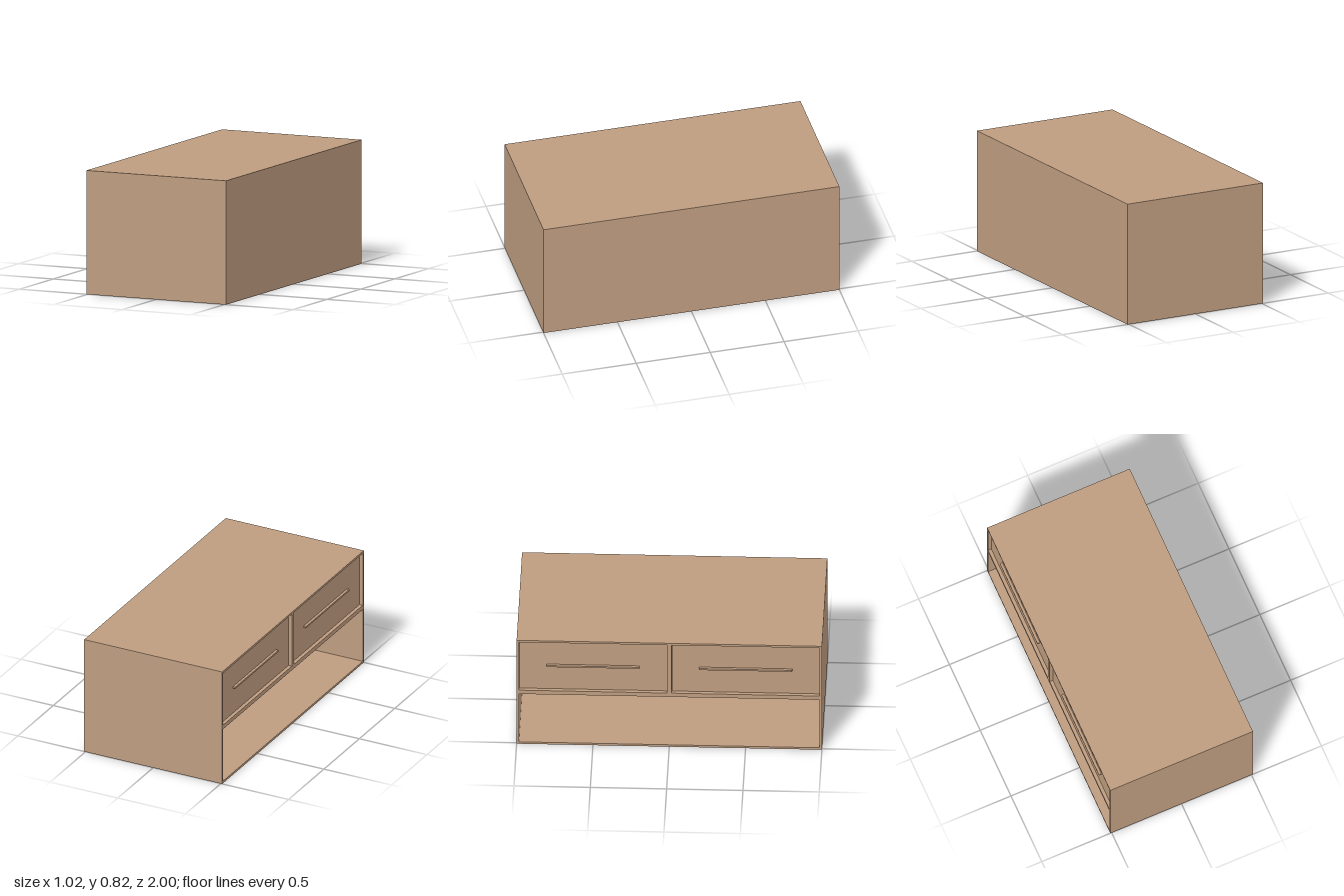
import * as THREE from 'three';

// Low cabinet: open side faces -x, long axis runs along z.
const W = 1.02, H = 0.82, L = 2, T = 0.015;

export function createModel() {
  const group = new THREE.Group();
  const wood = new THREE.MeshStandardMaterial({ color: 0xbf9d80 });

  // Box given by its min and max corners
  const box = (name, [x0, y0, z0], [x1, y1, z1], parent = group) => {
    const mesh = new THREE.Mesh(new THREE.BoxGeometry(x1 - x0, y1 - y0, z1 - z0), wood);
    mesh.position.set((x0 + x1) / 2, (y0 + y1) / 2, (z0 + z1) / 2);
    mesh.name = name;
    parent.add(mesh);
  };

  const open = -W / 2, back = W / 2, inner = L / 2 - T;
  const shelfY = 0.395, shelfTop = 0.425;

  // Carcass
  box('bottomPanel', [open, 0, -L / 2], [back, T, L / 2]);
  box('topPanel', [open, H - T, -L / 2], [back, H, L / 2]);
  box('endPanelBack', [open, T, -L / 2], [back, H - T, -inner]);
  box('endPanelFront', [open, T, inner], [back, H - T, L / 2]);
  box('rearPanel', [back - T, T, -inner], [back, H - T, inner]);
  box('shelf', [open, shelfY, -inner], [back - T, shelfTop, inner]);
  box('divider', [open, shelfTop, -T], [back - T, H - T, T]);

  // Two recessed drawers with slim bar handles
  const face = open + 0.023, midY = (shelfTop + H - T) / 2, gap = 0.002;
  for (const side of [-1, 1]) {
    const drawer = new THREE.Group();
    drawer.name = side < 0 ? 'drawerBack' : 'drawerFront';
    const zc = side * (T + inner) / 2, half = (inner - T) / 2 - gap;
    box('drawerPanel', [face, shelfTop + gap, zc - half], [face + 0.02, H - T - gap, zc + half], drawer);
    box('drawerBody', [face + 0.02, shelfTop + gap, zc - half + 0.01], [back - 0.05, H - T - 0.05, zc + half - 0.01], drawer);
    box('handle', [face - 0.018, midY - 0.006, zc - 0.305], [face, midY + 0.006, zc + 0.305], drawer);
    group.add(drawer);
  }
  return group;
}
